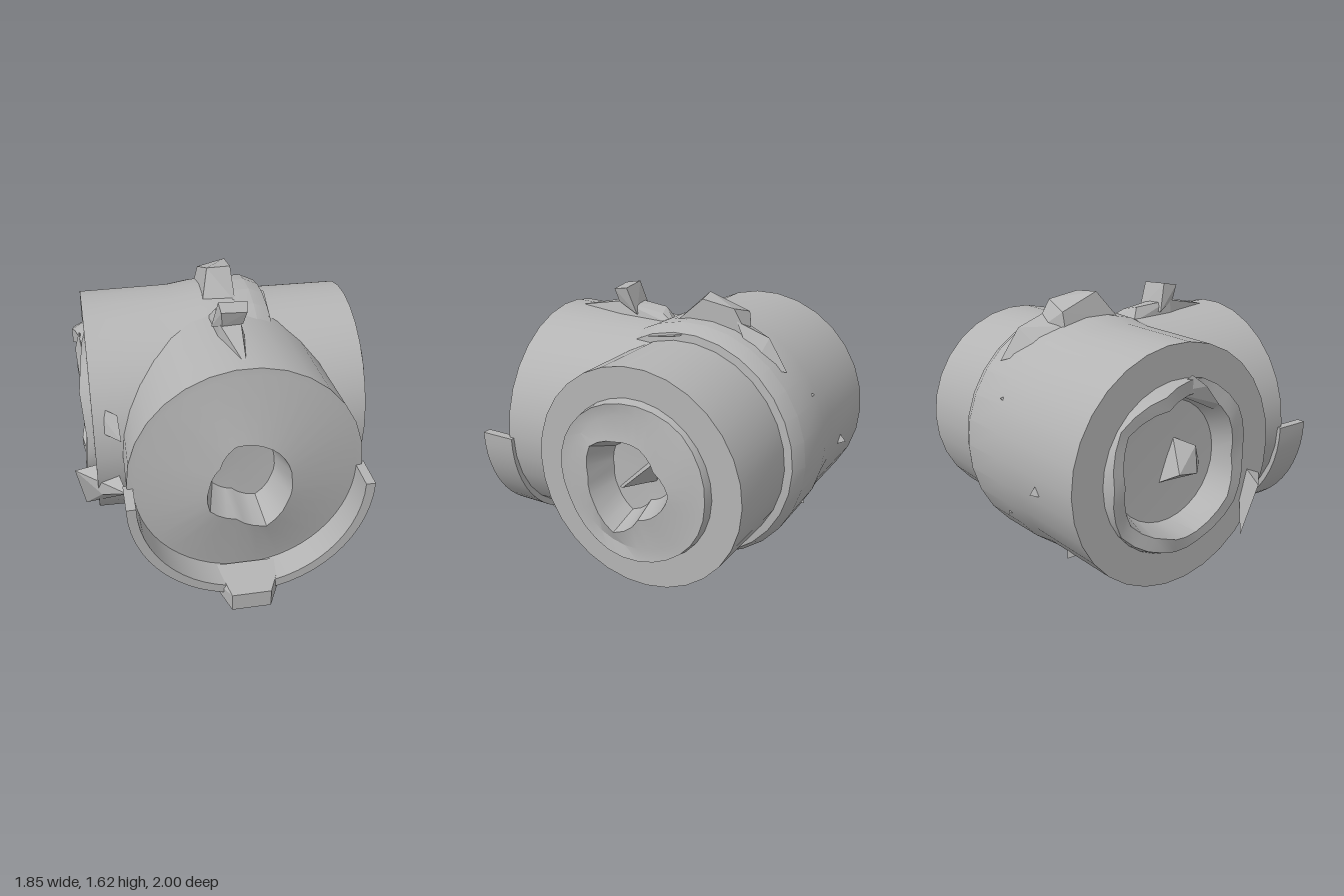
import * as THREE from 'three';
import { toCreasedNormals } from 'three/addons/utils/BufferGeometryUtils.js';
import { ConvexGeometry } from 'three/addons/geometries/ConvexGeometry.js';

const grey = new THREE.MeshStandardMaterial({ color: 0xb4b4b4, side: THREE.DoubleSide });
grey.name = 'plain grey';

// Reads a radius, or a list of radii spread evenly around the turn
function radiusAt(r, t) {
  if (!Array.isArray(r)) return r;
  const f = t * r.length, i = Math.floor(f) % r.length;
  return THREE.MathUtils.lerp(r[i], r[(i + 1) % r.length], f - Math.floor(f));
}

// Skin over loops set along +z; each row is [z, radius or radii]
function loft(rows, sides) {
  const pos = [], index = [];
  rows.forEach(([z, r], k) => {
    for (let i = 0; i <= sides; i++) {
      const t = (i % sides) / sides, a = t * Math.PI * 2, q = radiusAt(r, t);
      pos.push(Math.cos(a) * q, Math.sin(a) * q, radiusAt(z, t));
      if (k && i < sides) {
        const b = k * (sides + 1) + i, c = b - sides - 1;
        index.push(c, c + 1, b, c + 1, b + 1, b);
      }
    }
  });
  const g = new THREE.BufferGeometry();
  g.setAttribute('position', new THREE.Float32BufferAttribute(pos, 3));
  g.setIndex(index);
  return toCreasedNormals(g, 0.45);
}

export function createModel() {
  const model = new THREE.Group();
  const add = (name, geometry) => {
    const m = new THREE.Mesh(geometry, grey);
    m.name = name;
    model.add(m);
    return m;
  };
  const hull = (name, pts) => add(name, new ConvexGeometry(pts.map(p => new THREE.Vector3(...p))));

  // Cross barrel: left recess, wide left side, raised band, narrower right side, right socket
  const raggedLip = [-0.86, -0.83, -0.87, -0.82, -0.86, -0.84, -0.86, -0.82, -0.87, -0.83];
  const raggedRim = [0.47, 0.5, 0.46, 0.51, 0.49, 0.46, 0.48, 0.5, 0.47, 0.5];
  const raggedInner = [0.4, 0.44, 0.38, 0.43, 0.4, 0.37, 0.41, 0.44, 0.39, 0.42];
  const socket = [0.25, 0.2, 0.24, 0.25, 0.3, 0.26, 0.28, 0.33, 0.2, 0.22];
  const cross = add('crossBarrel', loft([
    [-0.68, 0], [-0.69, 0.36], [raggedLip, raggedInner], [raggedLip, raggedRim],
    [-0.8, 0.5], [-0.8, 0.695], [-0.25, 0.7], [-0.1, 0.722], [0.22, 0.73],
    [0.31, 0.69], [0.315, 0.645], [0.84, 0.643], [0.84, 0.47],
    [[0.9, 0.87, 0.91, 0.9, 0.88, 0.91, 0.89], 0.46], [0.89, 0.39],
    [0.915, socket], [0.75, socket.map(r => r * 0.75)], [0.74, 0],
  ], 30));
  cross.rotation.y = Math.PI / 2;
  cross.position.set(0, 0.773, -0.27);

  // Front barrel with a shallow cone face and an uneven socket
  const opening = [0.24, 0.24, 0.25, 0.27, 0.21, 0.23, 0.28, 0.25, 0.33, 0.27];
  const front = add('frontBarrel', loft([
    [-0.3, 0.66], [0.3, 0.67], [0.72, 0.68], [0.725, 0.64],
    [0.82, opening], [0.6, opening.map(r => r * 0.78)], [0.59, 0],
  ], 30));
  front.position.set(0.03, 0.78, 0);

  // Collar around the lower half of the front face
  const arc = new THREE.Shape();
  arc.absarc(0, 0, 0.7, Math.PI, Math.PI * 2, false);
  arc.absarc(0, 0, 0.645, Math.PI * 2, Math.PI, true);
  const collar = add('lowerCollar', toCreasedNormals(
    new THREE.ExtrudeGeometry(arc, { depth: 0.22, bevelEnabled: false, curveSegments: 14 }), 0.4));
  collar.position.set(0.03, 0.76, 0.69);

  hull('bottomLip', [
    [-0.2, 0.06, 0.73], [0.27, 0.06, 0.73], [-0.1, 0.02, 1], [0.13, 0.02, 1],
    [-0.1, 0.13, 1], [0.13, 0.13, 1], [0.03, 0.005, 0.73], [0.25, 0.14, 0.74], [-0.15, 0.14, 0.74],
  ]);

  // Lumps along the top
  hull('topKnob', [
    [-0.08, 1.46, 0.2], [0.1, 1.46, 0.18], [-0.05, 1.63, 0.25], [0.12, 1.62, 0.24],
    [-0.05, 1.61, 0.35], [0.1, 1.6, 0.34], [-0.04, 1.52, 0.33], [0.08, 1.52, 0.32],
  ]);
  hull('knobRidge', [
    [-0.07, 1.42, 0], [0.1, 1.42, -0.1], [-0.03, 1.5, 0.05], [0.06, 1.48, 0.02],
    [-0.05, 1.52, 0.3], [0.07, 1.52, 0.32], [0.03, 1.44, 0.68], [-0.06, 1.42, 0.3], [0.1, 1.42, 0.3],
  ]);
  hull('topHump', [
    [-0.08, 1.46, -0.12], [0.12, 1.46, -0.1], [-0.03, 1.63, -0.25], [0.12, 1.62, -0.28],
    [0.12, 1.59, -0.48], [-0.05, 1.54, -0.5], [-0.08, 1.42, -0.5], [0.12, 1.4, -0.6],
  ]);
  hull('topTail', [
    [-0.05, 1.46, -0.5], [0.12, 1.52, -0.5], [0.11, 1.45, -0.7],
    [0.12, 1.27, -0.82], [-0.05, 1.34, -0.65], [0.2, 1.3, -0.65],
  ]);
  hull('topSpur', [
    [0.1, 1.49, -0.3], [0.33, 1.45, -0.25], [0.1, 1.48, -0.1], [0.31, 1.4, 0.02], [0.2, 1.36, 0.05],
  ]);

  // Torn fins beside the left end
  hull('leftFin', [
    [-0.93, 0.58, 0.24], [-0.88, 0.27, 0.16], [-0.8, 0.4, 0.25],
    [-0.64, 0.59, 0.54], [-0.7, 0.67, 0.3], [-0.78, 0.5, 0.4],
  ]);
  hull('leftUpperFin', [
    [-0.79, 1.07, 0.3], [-0.66, 1.06, 0.42], [-0.78, 0.93, 0.36], [-0.65, 0.93, 0.5], [-0.75, 0.95, 0.25],
  ]);
  hull('leftRimShard', [
    [-0.83, 1.29, -0.2], [-0.86, 1.22, -0.12], [-0.79, 1.2, -0.3], [-0.79, 1.05, 0], [-0.85, 1.1, -0.02],
  ]);
  hull('leftRecessBlock', [
    [-0.68, 0.65, -0.3], [-0.68, 0.9, -0.2], [-0.8, 0.72, -0.25],
    [-0.76, 0.85, -0.1], [-0.68, 0.7, 0], [-0.8, 0.7, -0.12],
  ]);

  // Broken pieces in the right socket
  hull('rightSocketShard', [
    [0.74, 0.65, -0.1], [0.74, 0.95, -0.4], [0.88, 0.93, -0.42], [0.86, 0.72, -0.2], [0.74, 0.75, -0.35],
  ]);

  // Small triangular burrs on the back and underside: [x, angle from the top towards the back]
  [[-0.05, 1.1], [-0.05, 2.1], [-0.45, 1.7], [-0.45, 2.4], [-0.2, 2.9], [-0.6, 3.1]].forEach(([x, a]) => {
    const burr = add('burr', new THREE.ConeGeometry(0.06, 0.07, 3).toNonIndexed());
    burr.geometry.computeVertexNormals();
    burr.position.set(x, 0.773 + Math.cos(a) * 0.7, -0.27 - Math.sin(a) * 0.7);
    burr.rotation.x = -a;
  });
  return model;
}
